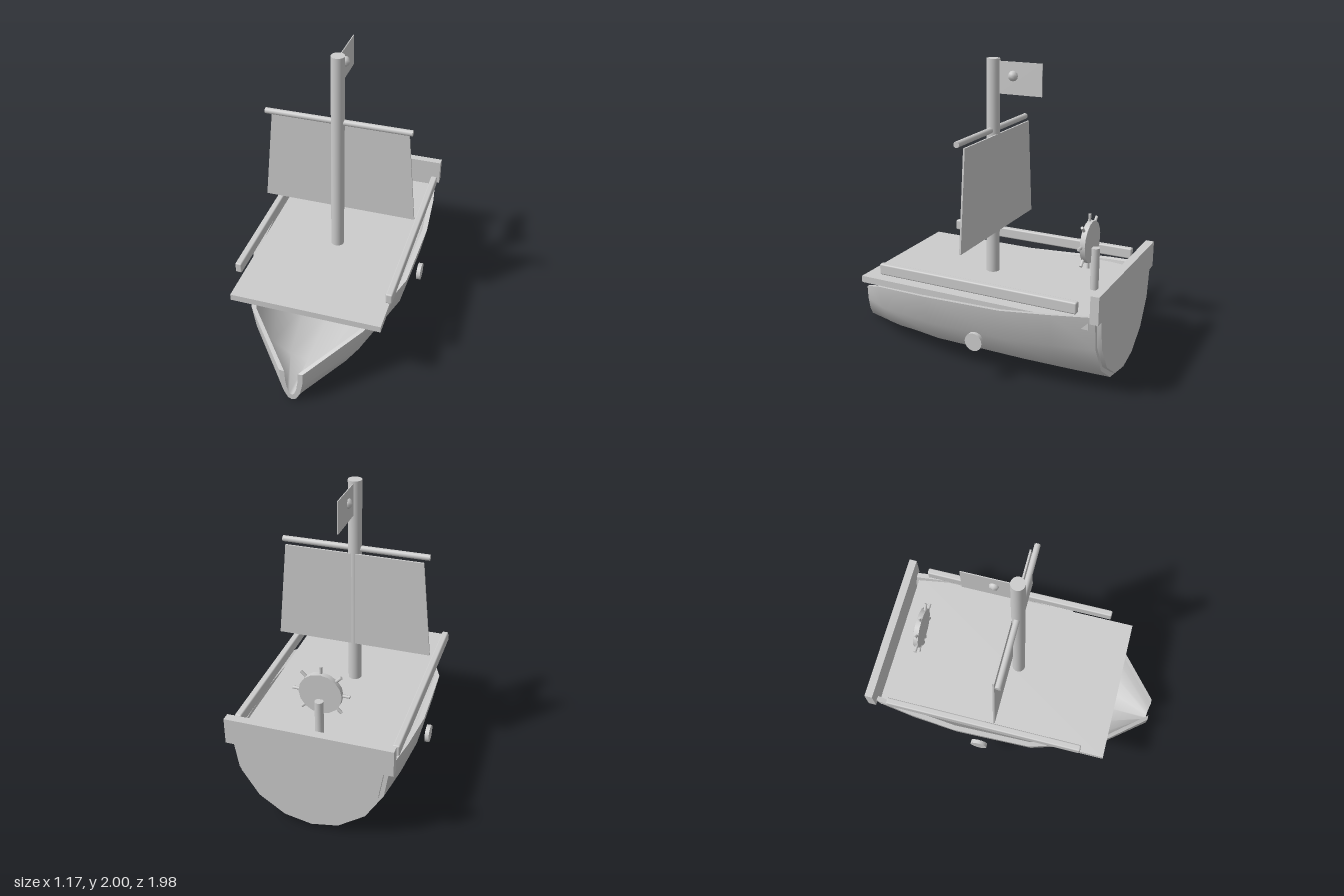
import * as THREE from 'three';
import { toCreasedNormals } from 'three/addons/utils/BufferGeometryUtils.js';
import { RoundedBoxGeometry } from 'three/addons/geometries/RoundedBoxGeometry.js';

// Hull stations: z, half width at the rim, rim height
const STATIONS = [
  [0.99, 0.08, 0.26], [0.67, 0.385, 0.43], [0.2, 0.555, 0.515],
  [-0.35, 0.575, 0.54], [-0.68, 0.55, 0.57], [-0.955, 0.51, 0.592],
];
// Right half of the normalised cross-section, keel to rim
const HALF = [[0, 0], [0.35, 0.06], [0.7, 0.28], [0.93, 0.61], [1, 1]];

// Full cross-section from rim to rim
function section(z, halfWidth, top, keel) {
  const half = HALF.map(([u, v]) => [u * halfWidth, keel + v * (top - keel), z]);
  const mirrored = half.slice(1).reverse().map(([x, y]) => [-x, y, z]);
  return [...mirrored, ...half];
}

// Surface through rows of equally many points
function loft(rows) {
  const n = rows[0].length, index = [];
  for (let i = 0; i < rows.length - 1; i++) {
    for (let j = 0; j < n - 1; j++) {
      const a = i * n + j, b = a + n;
      index.push(a, b, a + 1, b, b + 1, a + 1);
    }
  }
  const g = new THREE.BufferGeometry();
  g.setAttribute('position', new THREE.Float32BufferAttribute(rows.flat(2), 3));
  g.setIndex(index);
  g.computeVertexNormals();
  return g;
}

export function createModel() {
  const model = new THREE.Group();
  model.name = 'sailingBoat';
  const grey = new THREE.MeshStandardMaterial({ color: 0xcccccc });
  grey.name = 'paleGrey';
  const shell = new THREE.MeshStandardMaterial({ color: 0xcccccc, side: THREE.DoubleSide });
  shell.name = 'paleGreyShell';

  const add = (name, geometry, x = 0, y = 0, z = 0, parent = model, material = grey) => {
    const mesh = new THREE.Mesh(geometry, material);
    mesh.name = name;
    mesh.position.set(x, y, z);
    parent.add(mesh);
    return mesh;
  };
  const box = (w, h, d) => new THREE.BoxGeometry(w, h, d);
  const rod = (r, length, sides = 16) => new THREE.CylinderGeometry(r, r, length, sides);

  // Hull: outer and inner skins, rims and end edges
  const hull = new THREE.Group();
  hull.name = 'hull';
  model.add(hull);
  const outer = STATIONS.map(([z, w, t]) => section(z, w, t, 0.005));
  const inner = STATIONS.map(([z, w, t]) => section(z, w - 0.035, t - 0.005, 0.05));
  const last = outer[0].length - 1;
  const skin = (name, rows) => add(name, loft(rows), 0, 0, 0, hull, shell);
  skin('hullOutside', outer);
  skin('hullInside', inner.map((row) => [...row].reverse()));
  skin('rimRight', outer.map((row, i) => [inner[i][0], row[0]]));
  skin('rimLeft', outer.map((row, i) => [row[last], inner[i][last]]));
  skin('bowEdge', [inner[0], outer[0]]);
  skin('sternEdge', [outer[5], inner[5]]);

  // Transom plate closing the stern
  const transom = new THREE.Shape(section(0, 0.48, 0.57, 0.04).map(([x, y]) => new THREE.Vector2(x, y)));
  const transomGeometry = new THREE.ExtrudeGeometry(transom, { depth: 0.045, bevelEnabled: false });
  add('transom', toCreasedNormals(transomGeometry, 0.6), 0, 0, -0.985);

  // Deck, stern board and side rails
  add('deck', box(1.02, 0.045, 1.635), 0, 0.526, -0.1);
  add('sternBoard', box(1.08, 0.18, 0.055), 0, 0.65, -0.96);
  for (const side of [-1, 1]) {
    add(side > 0 ? 'railLeft' : 'railRight', new RoundedBoxGeometry(0.045, 0.075, 1.395, 2, 0.01),
      side * 0.515, 0.637, -0.147);
    // Round side plates
    const plate = add(side > 0 ? 'portholeLeft' : 'portholeRight', rod(0.06, 0.028, 24),
      side * 0.573, 0.29, -0.177);
    plate.rotation.z = Math.PI / 2;
  }

  // Mast and yard
  add('mast', rod(0.045, 1.46, 24), 0, 1.27, -0.02);
  add('yard', rod(0.02, 0.99), 0, 1.535, -0.02).rotation.z = Math.PI / 2;

  // Sail: a thin trapezium
  const sail = new THREE.Shape([[-0.53, 0.84], [0.53, 0.84], [0.465, 1.51], [-0.465, 1.51]]
    .map(([x, y]) => new THREE.Vector2(x, y)));
  add('sail', new THREE.ExtrudeGeometry(sail, { depth: 0.012, bevelEnabled: false }), 0, 0, -0.063);

  // Flag with a round emblem ball
  add('flag', box(0.006, 0.21, 0.305), 0, 1.88, -0.212);
  add('flagBall', new THREE.SphereGeometry(0.034, 8, 6), 0.004, 1.895, -0.163);

  // Steering wheel on its post
  const wheel = new THREE.Group();
  wheel.name = 'steeringWheel';
  wheel.position.set(0, 0.87, -0.715);
  model.add(wheel);
  add('wheelDisc', rod(0.14, 0.035, 16), 0, 0, -0.005, wheel).rotation.x = Math.PI / 2;
  for (let i = 0; i < 8; i++) {
    const a = (i * Math.PI) / 4;
    const spoke = add('wheelHandle', rod(0.01, 0.185, 8),
      -Math.sin(a) * 0.0925, Math.cos(a) * 0.0925, 0.003, wheel);
    spoke.rotation.z = a;
  }
  add('wheelPost', rod(0.028, 0.29), 0, 0.688, -0.76);

  return model;
}
